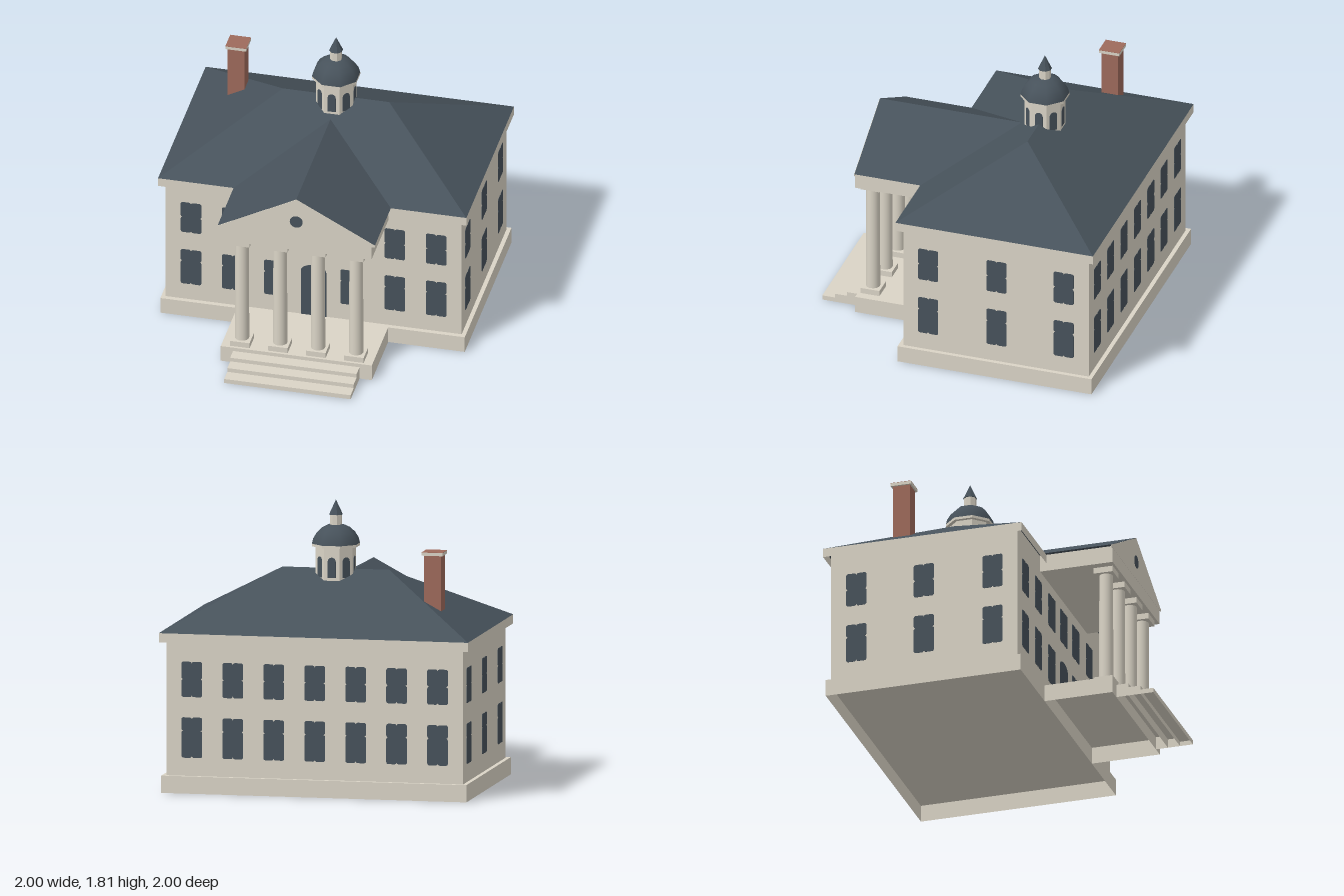
import * as THREE from 'three';

const mat = (name, color, side = THREE.FrontSide) => {
  const m = new THREE.MeshStandardMaterial({ color, side });
  m.name = name;
  return m;
};

export function createModel() {
  const stone = mat('stone', 0xdad4c6, THREE.DoubleSide);
  const slate = mat('slate', 0x47525b);
  const brick = mat('brick', 0x9e6a5b);
  const house = new THREE.Group();
  house.name = 'house';

  const add = (name, geometry, material, parent = house) => {
    const mesh = new THREE.Mesh(geometry, material);
    mesh.name = name;
    parent.add(mesh);
    return mesh;
  };
  // Box given by its limits on each axis
  const box = (name, material, [x0, x1], [y0, y1], [z0, z1], parent) => {
    const g = new THREE.BoxGeometry(x1 - x0, y1 - y0, z1 - z0);
    g.translate((x0 + x1) / 2, (y0 + y1) / 2, (z0 + z1) / 2);
    return add(name, g, material, parent);
  };
  // Thin-walled box with some sides left open (2 top, 3 bottom, 5 back)
  const shell = (name, open, x, y, z) => {
    const g = box(name, stone, x, y, z).geometry;
    const index = Array.from(g.index.array);
    g.setIndex(index.filter((_, i) => !open.includes(Math.floor(i / 6))));
    g.clearGroups();
  };
  const extrude = (shape, depth, curveSegments = 8) =>
    new THREE.ExtrudeGeometry(shape, { depth, bevelEnabled: false, curveSegments });
  const polygon = (points) => new THREE.Shape(points.map(([x, y]) => new THREE.Vector2(x, y)));

  // Main block: hollow foundation, walls and fascia board
  shell('foundation', [3], [-0.987, 0.987], [0, 0.11], [-0.987, 0.305]);
  box('walls', stone, [-0.96, 0.96], [0.11, 1.015], [-0.96, 0.275]);
  shell('fascia', [2, 3], [-1, 1], [0.962, 1.02], [-1, 0.315]);

  // Hip roof
  const eave = 1.02, ridge = 1.375;
  const A = [-1, eave, 0.315], B = [1, eave, 0.315], C = [1, eave, -1], D = [-1, eave, -1];
  const L = [-0.345, ridge, -0.345], R = [0.345, ridge, -0.345];
  const faces = [A, B, R, A, R, L, B, C, R, C, D, L, C, L, R, D, A, L, A, D, C, A, C, B];
  const hip = new THREE.BufferGeometry();
  hip.setAttribute('position', new THREE.Float32BufferAttribute(faces.flat(), 3));
  hip.computeVertexNormals();
  add('hipRoof', hip, slate);

  // Portico floor and steps, hollow underneath
  shell('porticoFloor', [3, 5], [-0.49, 0.49], [0, 0.11], [0.305, 0.755]);
  [[0.085, 0.755, 0.835], [0.058, 0.835, 0.915], [0.03, 0.915, 1]].forEach(([h, z0, z1]) =>
    shell('step', [3, 5], [-0.41, 0.41], [0, h], [z0, z1]));

  // Columns with square plinths and capitals
  for (const x of [-0.37, -0.123, 0.123, 0.37]) {
    const column = new THREE.Group();
    column.name = 'column';
    column.position.set(x, 0, 0.675);
    house.add(column);
    const sq = [-0.063, 0.063];
    box('plinth', stone, sq, [0.11, 0.147], sq, column);
    add('shaft', new THREE.CylinderGeometry(0.0435, 0.0455, 0.725, 24).translate(0, 0.509, 0), stone, column);
    box('capital', stone, sq, [0.87, 0.91], sq, column);
  }

  // Entablature, pediment and gable roof
  box('entablature', stone, [-0.487, 0.487], [0.908, 1.019], [0.27, 0.755]);
  const gable = polygon([[-0.51, 1.02], [0.51, 1.02], [0, 1.292]]);
  add('porticoRoof', extrude(gable, 0.943).translate(0, 0, -0.19), slate);
  const pediment = polygon([[-0.51, 1.004], [0.51, 1.004], [0.51, 1.018], [0, 1.29], [-0.51, 1.018]]);
  add('pediment', extrude(pediment, 0.003).translate(0, 0, 0.753), stone);
  add('roundWindow', new THREE.CylinderGeometry(0.042, 0.042, 0.003, 24)
    .rotateX(Math.PI / 2).translate(0, 1.123, 0.7565), slate);

  // Window outline: four rounded panes merged, notched where they meet
  const windowGeometry = (half, y0, yMid, y1) => {
    const r = 0.014, q = Math.PI / 2, s = new THREE.Shape();
    const arcs = [
      [r, y0, 1, 2], [half - r, y0, 1, 3], [half - r, yMid, -1, 0], [half - r, yMid, 1, 3],
      [half - r, y1, -1, 0], [r, y1, -1, 1], [-r, y1, -1, 0], [r - half, y1, -1, 1],
      [r - half, yMid, 1, 2], [r - half, yMid, -1, 1], [r - half, y0, 1, 2], [-r, y0, 1, 3]];
    arcs.forEach(([x, y, dy, turn]) => s.absarc(x, y + dy * r, r, turn * q, (turn + 1) * q));
    return s;
  };
  // Left-hand notches run downwards, so the lower-left arcs swap order
  const upper = (half) => windowGeometry(half, 0.613, 0.727, 0.838);
  const lower = (half) => windowGeometry(half, 0.225, 0.397, 0.483);

  const wall = (name, x, z, turn, upperXs, lowerXs) => {
    const g = new THREE.Group();
    g.name = name;
    g.position.set(x, 0, z);
    g.rotation.y = turn;
    house.add(g);
    const place = (make, [u, half = 0.067]) =>
      add('window', extrude(make(half), 0.002, 4), slate, g).position.x = u;
    upperXs.forEach((w) => place(upper, w));
    lowerXs.forEach((w) => place(lower, w));
  };
  const sides = [[-0.795], [-0.527], [-0.247, 0.074], [0.247, 0.074], [0.527], [0.795]];
  wall('frontWindows', 0, 0.275, 0, [...sides, [0, 0.074]], sides);
  const back = [-3, -2, -1, 0, 1, 2, 3].map((i) => [i * 0.265]);
  wall('backWindows', 0, -0.96, Math.PI, back, back);
  const zs = [0.11, -0.345, -0.793];
  const right = zs.map((z) => [-z]), left = zs.map((z) => [z]);
  wall('leftWindows', 0.96, 0, Math.PI / 2, right, right);
  wall('rightWindows', -0.96, 0, -Math.PI / 2, left, left);

  // Arched door
  const arch = (half, y0, spring, rise) => {
    const s = new THREE.Shape();
    s.moveTo(-half, y0);
    s.lineTo(half, y0);
    s.lineTo(half, spring);
    s.absellipse(0, spring, half, rise, 0, Math.PI, false, 0);
    return s;
  };
  add('door', extrude(arch(0.082, 0.11, 0.44, 0.047), 0.002).translate(0, 0, 0.275), slate);

  // Octagonal cupola, flat sides facing the axes
  const cupola = new THREE.Group();
  cupola.name = 'cupola';
  cupola.position.z = -0.345;
  house.add(cupola);
  const k = 1 / Math.cos(Math.PI / 8);
  const octagon = (name, r0, r1, y0, y1, material) => {
    const g = new THREE.CylinderGeometry(r1 * k, r0 * k, y1 - y0, 8).toNonIndexed();
    g.computeVertexNormals();
    add(name, g.rotateY(Math.PI / 8).translate(0, (y0 + y1) / 2, 0), material, cupola);
  };
  octagon('cupolaBody', 0.12, 0.12, 1.2, 1.52, stone);
  octagon('cupolaCornice', 0.143, 0.143, 1.518, 1.535, stone);
  for (let i = 0; i < 8; i++) {
    const g = extrude(arch(0.026, 1.328, 1.432, 0.026), 0.002).translate(0, 0, 0.12);
    add('cupolaWindow', g.rotateY((i * Math.PI) / 4), slate, cupola);
  }
  const dome = [[0.143, 1.535], [0.134, 1.57], [0.114, 1.605], [0.085, 1.635], [0.05, 1.653], [0, 1.66]]
    .map(([r, y]) => new THREE.Vector2(r * k, y));
  add('dome', new THREE.LatheGeometry(dome, 8, Math.PI / 8), slate, cupola);
  octagon('lantern', 0.036, 0.036, 1.64, 1.72, stone);
  octagon('spire', 0.041, 0.0005, 1.718, 1.812, slate);

  // Chimney with a stone-edged cap
  box('chimney', brick, [-0.742, -0.632], [1.05, 1.515], [-0.62, -0.508]);
  box('chimneyCap', stone, [-0.754, -0.619], [1.513, 1.533], [-0.632, -0.497]);
  box('chimneyTop', brick, [-0.754, -0.619], [1.533, 1.535], [-0.632, -0.497]);

  return house;
}
